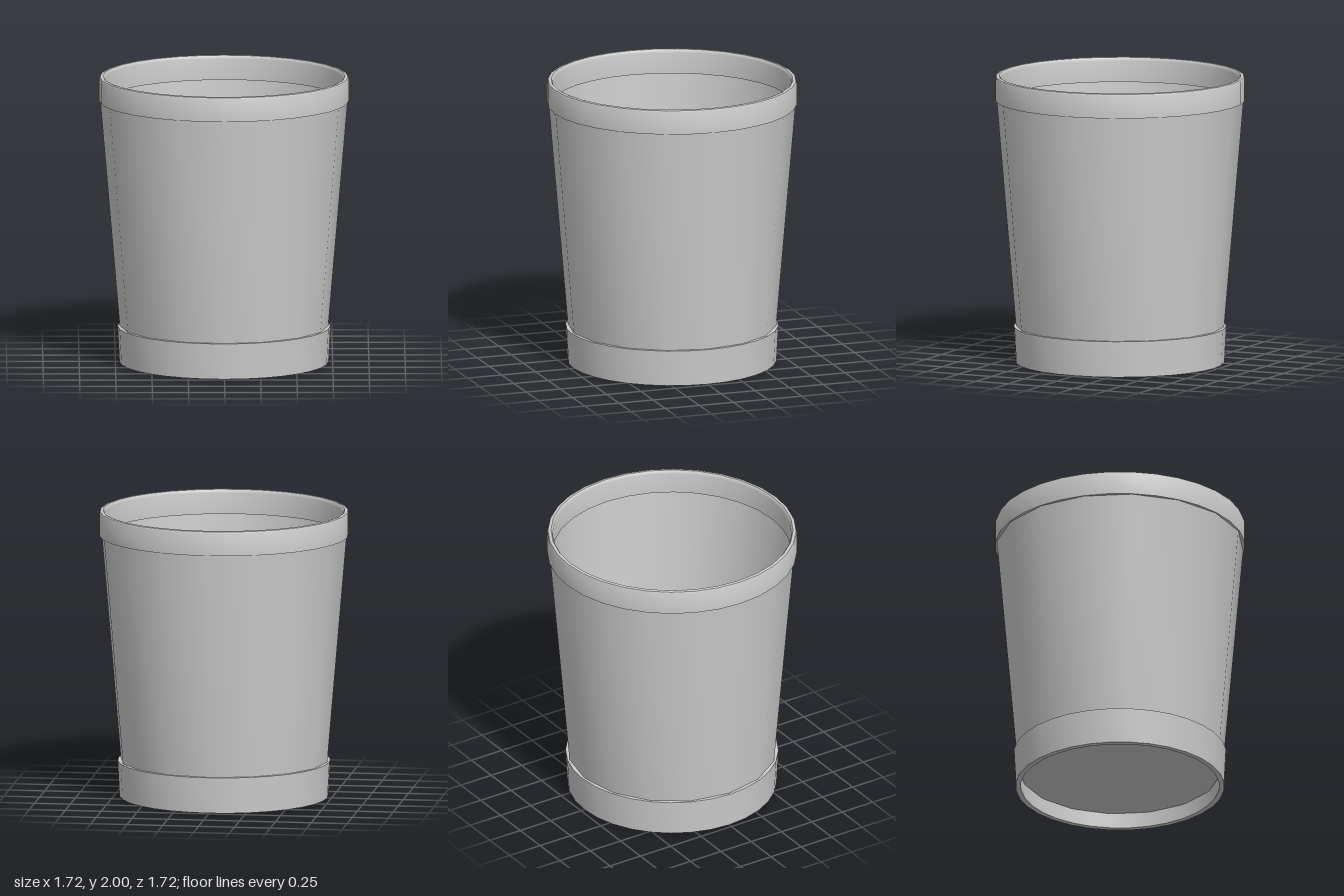
import * as THREE from 'three';
import { toCreasedNormals } from 'three/addons/utils/BufferGeometryUtils.js';

export function createModel() {
  const model = new THREE.Group();
  const solid = new THREE.MeshStandardMaterial({ color: 0xcccccc });
  const thin = new THREE.MeshStandardMaterial({ color: 0xcccccc, side: THREE.DoubleSide });

  // Turns a [radius, height] profile, running up the outside, into a named part
  const turn = (name, profile, sides, material) => {
    const points = profile.map(([r, y]) => new THREE.Vector2(r, y));
    const geometry = toCreasedNormals(new THREE.LatheGeometry(points, sides), 0.7);
    const mesh = new THREE.Mesh(geometry, material);
    mesh.name = name;
    model.add(mesh);
  };

  // Tapered thin wall
  turn('wall', [[0.719, 0.24], [0.855, 1.84]], 16, thin);

  // Rim band with a softly rounded top
  turn('rim', [
    [0.862, 1.827], [0.862, 1.983], [0.857, 1.995], [0.846, 2],
    [0.836, 1.998], [0.828, 1.988], [0.825, 1.975], [0.825, 1.827], [0.862, 1.827],
  ], 32, solid);

  // Slightly tapered foot band
  turn('baseBand', [
    [0.722, 0], [0.735, 0.25], [0.696, 0.25], [0.685, 0], [0.722, 0],
  ], 32, solid);

  // Floor, raised inside the foot band
  const floor = new THREE.Mesh(new THREE.CircleGeometry(0.693, 16), thin);
  floor.name = 'floor';
  floor.rotation.x = -Math.PI / 2;
  floor.position.y = 0.11;
  model.add(floor);

  return model;
}
